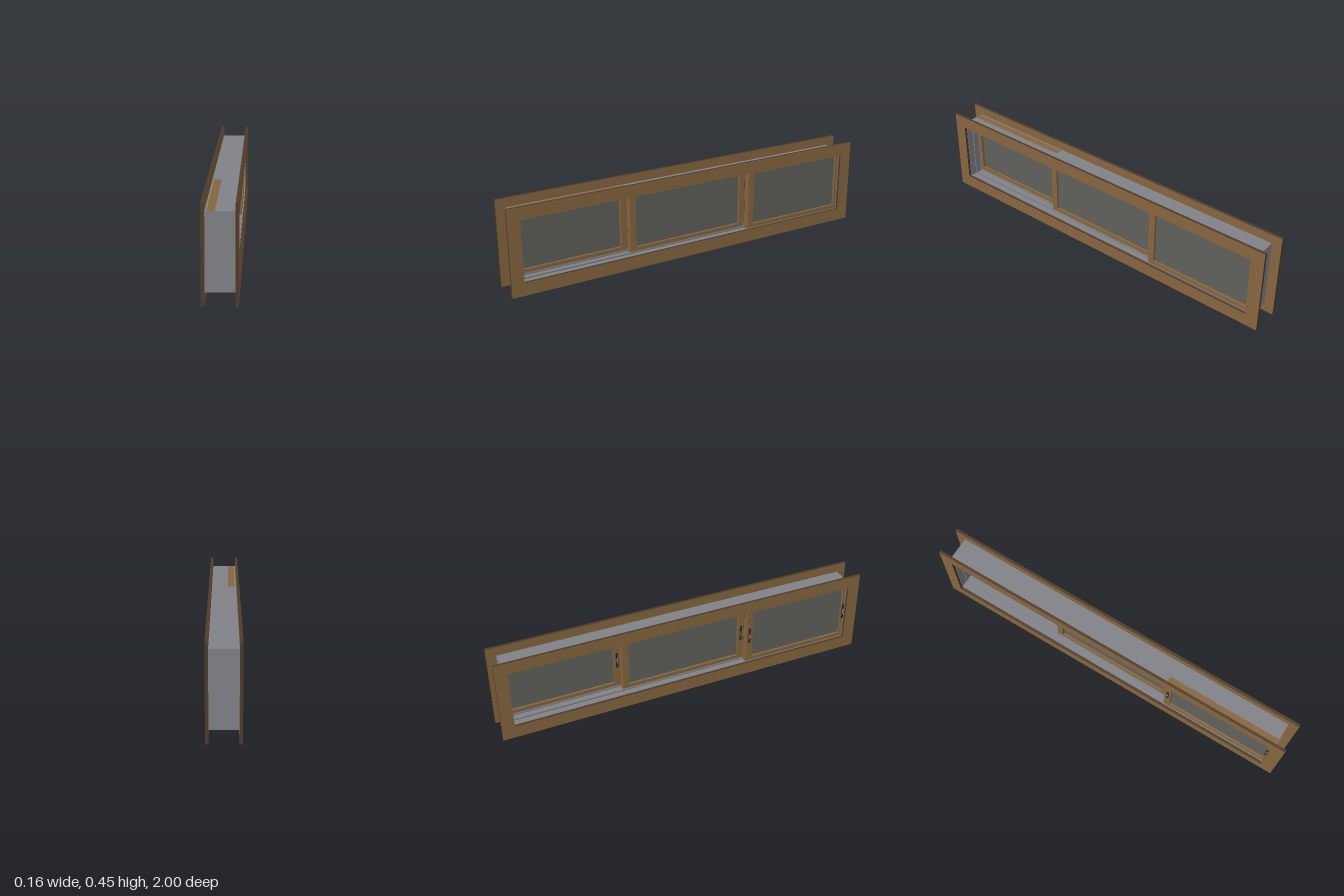
import * as THREE from 'three';

const mat = (name, color) => {
  const m = new THREE.MeshStandardMaterial({ color });
  m.name = name;
  return m;
};

export function createModel() {
  const brown = mat('brown wood', 0x86663f);
  const edge = mat('dark brown edge', 0x503c2a);
  const grey = mat('grey metal', 0x828388);
  const glassMat = mat('smoky glass', 0x60615c);
  const dark = mat('dark handle', 0x2b2a29);
  const model = new THREE.Group();
  model.name = 'slidingWindow';

  // Rectangular ring facing x; outer and inner are [z0, z1, y0, y1]
  const ring = (name, outer, inner, x0, x1, material, parent = model) => {
    const trace = (path, [z0, z1, y0, y1]) => {
      path.moveTo(-z1, y0);
      path.lineTo(-z0, y0);
      path.lineTo(-z0, y1);
      path.lineTo(-z1, y1);
      path.closePath();
      return path;
    };
    const shape = trace(new THREE.Shape(), outer);
    shape.holes.push(trace(new THREE.Path(), inner));
    const geo = new THREE.ExtrudeGeometry(shape, { depth: x1 - x0, bevelEnabled: false });
    geo.rotateY(Math.PI / 2);
    geo.translate(x0, 0, 0);
    const mesh = new THREE.Mesh(geo, material);
    mesh.name = name;
    parent.add(mesh);
  };

  const box = (name, w, h, d, x, y, z, material, parent) => {
    const mesh = new THREE.Mesh(new THREE.BoxGeometry(w, h, d), material);
    mesh.name = name;
    mesh.position.set(x, y, z);
    parent.add(mesh);
  };

  // Casings on both sides of the wall
  const opening = [-0.935, 0.935, 0.066, 0.384];
  ring('leftCasing', [-1, 1, 0, 0.448], opening, 0.066, 0.08, [brown, edge]);
  ring('rightCasing', [-1, 1, 0, 0.448], opening, -0.08, -0.066, [brown, edge]);

  // Metal frame lining with guide ribs between the tracks
  const liner = [-0.94, 0.94, 0.057, 0.392];
  ring('frameLining', [-0.95, 0.95, 0.047, 0.402], liner, -0.066, 0.066, grey);
  for (const x of [-0.062, -0.02, 0.02, 0.062])
    ring('trackRib', [-0.945, 0.945, 0.052, 0.397], opening, x - 0.002, x + 0.002, grey);

  // Three sashes, each on its own track
  const sashes = [
    { name: 'frontSash', x: -0.04, z: [0.34, 0.948], glass: [0.375, 0.92], top: 0.4028, handles: [0.357, 0.928] },
    { name: 'middleSash', x: 0, z: [-0.342, 0.342], glass: [-0.308, 0.308], top: 0.4, handles: [0.325] },
    { name: 'backSash', x: 0.04, z: [-0.948, -0.34], glass: [-0.92, -0.375], top: 0.4, handles: [-0.357] },
  ];
  for (const s of sashes) {
    const sash = new THREE.Group();
    sash.name = s.name;
    model.add(sash);
    const [g0, g1] = s.glass;
    ring('sashFrame', [...s.z, 0.05, s.top], [g0, g1, 0.086, 0.37], s.x - 0.0175, s.x + 0.0175, brown, sash);
    box('glassPane', 0.01, 0.29, g1 - g0 + 0.006, s.x, 0.228, (g0 + g1) / 2, glassMat, sash);
    // Recessed pulls
    for (const z of s.handles) {
      box('handlePlate', 0.004, 0.09, 0.012, s.x - 0.0185, 0.225, z, dark, sash);
      box('handleLatch', 0.004, 0.03, 0.006, s.x - 0.0205, 0.225, z, grey, sash);
    }
  }
  return model;
}
